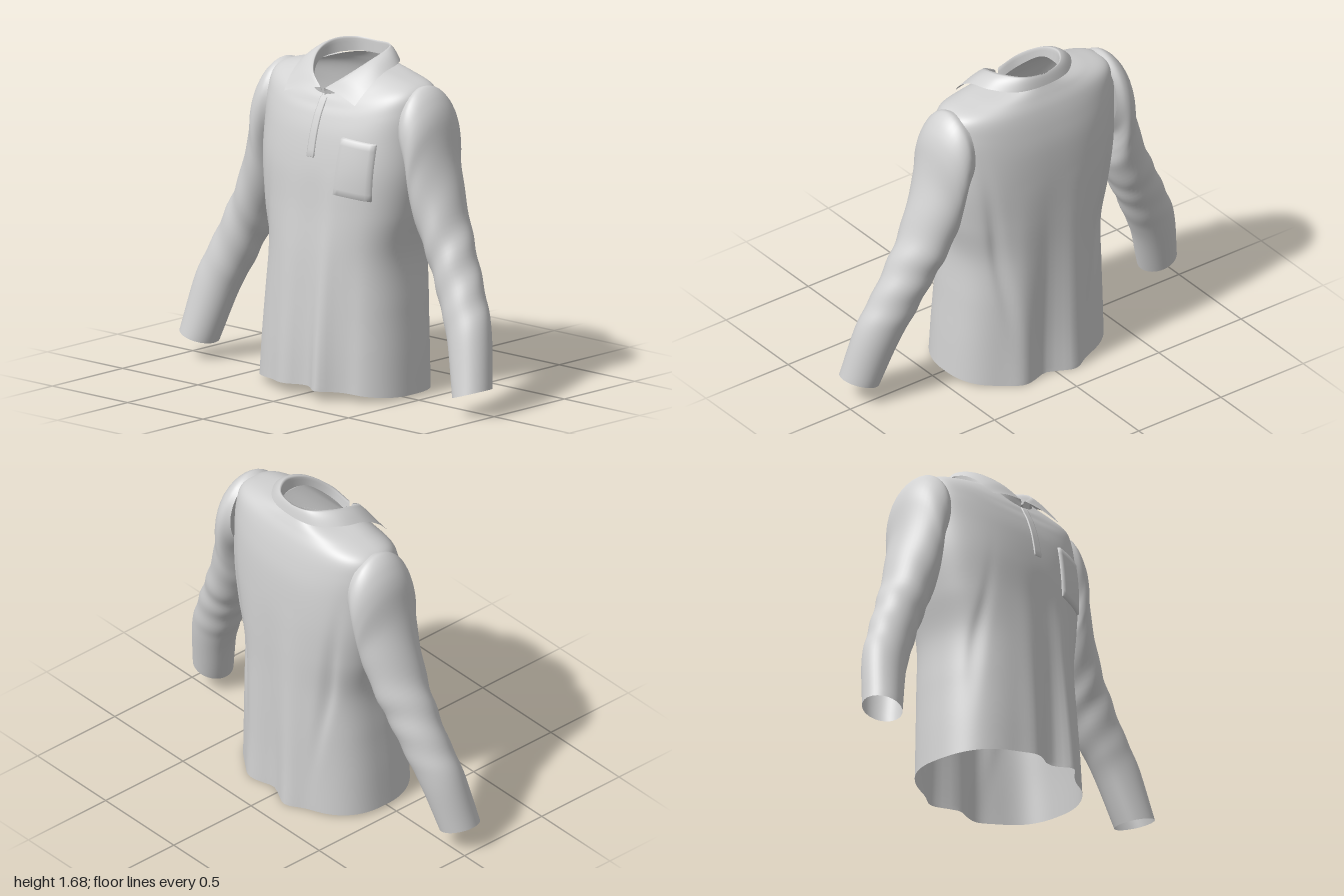
import * as THREE from 'three';

const fabric = new THREE.MeshStandardMaterial({ color: 0xd2d2d2, side: THREE.DoubleSide });
fabric.name = 'light grey fabric';

// Surface through a grid of points: rows by columns, optionally closed around the columns
function gridMesh(name, rows, cols, closed, pointAt) {
  const pos = [], index = [];
  for (let r = 0; r <= rows; r++) {
    for (let c = 0; c < (closed ? cols : cols + 1); c++) pos.push(...pointAt(r / rows, c / cols));
  }
  const stride = closed ? cols : cols + 1;
  for (let r = 0; r < rows; r++) {
    for (let c = 0; c < cols; c++) {
      const a = r * stride + c, b = r * stride + (c + 1) % stride;
      index.push(a, a + stride, b, b, a + stride, b + stride);
    }
  }
  const geo = new THREE.BufferGeometry();
  geo.setAttribute('position', new THREE.Float32BufferAttribute(pos, 3));
  geo.setIndex(index);
  geo.computeVertexNormals();
  const mesh = new THREE.Mesh(geo, fabric);
  mesh.name = name;
  return mesh;
}

// Smooth interpolation through a list of cross-sections
function sections(list) {
  const n = list.length - 1;
  const it = new THREE.CubicInterpolant(list.map((_, i) => i), list.flat(), list[0].length,
    new Float32Array(list[0].length));
  return t => it.evaluate(Math.min(n, t * n));
}

const bump = (x, centre, width) => Math.exp(-(((x - centre) / width) ** 2));
const power = (v, e) => Math.sign(v) * Math.abs(v) ** e;

// Half width, side z, front z, back z, side y, front y, back y
const torsoAt = sections([
  [0.44, -0.02, 0.315, -0.33, 0.02, 0.055, 0.005],
  [0.43, -0.03, 0.31, -0.33, 0.22, 0.24, 0.2],
  [0.415, -0.04, 0.30, -0.335, 0.45, 0.45, 0.45],
  [0.405, -0.05, 0.285, -0.34, 0.7, 0.7, 0.7],
  [0.45, -0.06, 0.265, -0.345, 0.92, 0.92, 0.92],
  [0.48, -0.07, 0.25, -0.345, 1.12, 1.12, 1.12],
  [0.485, -0.08, 0.222, -0.335, 1.3, 1.28, 1.3],
  [0.485, -0.085, 0.19, -0.315, 1.44, 1.38, 1.42],
  [0.455, -0.09, 0.165, -0.29, 1.535, 1.43, 1.51],
  [0.33, -0.09, 0.15, -0.262, 1.575, 1.46, 1.57],
  [0.175, -0.07, 0.135, -0.238, 1.60, 1.48, 1.615],
]);

function torsoPoint(v, u) {
  const [w, zs, zf, zb, ys, yf, yb] = torsoAt(v);
  const a = u * Math.PI * 2, c = Math.cos(a), s = Math.sin(a);
  const x = w * power(c, 0.8), k = power(s, 0.8);
  const y = ys + ((s > 0 ? yf : yb) - ys) * s * s;
  let z = zs + (s > 0 ? zf - zs : zs - zb) * k;
  // Hanging folds, strongest at the hem
  const hang = Math.max(0, 1 - y / 1.15) ** 1.2 * Math.abs(k);
  if (s > 0) {
    z += hang * (0.055 * bump(x, 0.14, 0.05) + 0.028 * bump(x, -0.1, 0.07)
      - 0.02 * bump(x, 0.02, 0.05) - 0.015 * bump(x, 0.27, 0.05));
    z -= 0.016 * bump(x, -0.31 - (0.95 - y) * 0.12, 0.025) * bump(y, 0.65, 0.28);
  } else {
    z -= hang * (0.042 * bump(x, -0.1, 0.07) + 0.03 * bump(x, 0.2, 0.07) - 0.02 * bump(x, 0.05, 0.05));
    z += 0.018 * bump(Math.abs(x), 0.3 + (y - 0.7) * 0.15, 0.03) * bump(y, 0.75, 0.35);
  }
  return [x, y, z];
}

// Outer x, outer y, inner x, inner y, centre z, half depth; cuff to shoulder
const sleeveAt = sections([
  [1.0, 0.145, 0.81, 0.085, 0.053, 0.102],
  [0.945, 0.42, 0.73, 0.33, 0.0, 0.108],
  [0.875, 0.58, 0.665, 0.47, -0.03, 0.112],
  [0.79, 0.76, 0.595, 0.62, -0.055, 0.12],
  [0.70, 0.95, 0.535, 0.75, -0.072, 0.14],
  [0.612, 1.22, 0.475, 0.89, -0.08, 0.165],
  [0.575, 1.405, 0.465, 0.98, -0.085, 0.185],
  [0.53, 1.5, 0.465, 1.05, -0.09, 0.19],
  [0.475, 1.55, 0.46, 1.1, -0.09, 0.185],
  [0.43, 1.545, 0.43, 1.15, -0.09, 0.165],
]);

function sleeve(side) {
  return gridMesh(side > 0 ? 'leftSleeve' : 'rightSleeve', 60, 40, true, (v, u) => {
    const [xo, yo, xi, yi, zc, rz] = sleeveAt(v);
    const a = u * Math.PI * 2 * side, c = Math.cos(a), s = Math.sin(a);
    // Soft wrinkles around the elbow
    const wrinkle = 1 + 0.03 * Math.sin(v * 55 + 2 * a) * bump(v, 0.36, 0.17);
    const k = c * wrinkle;
    return [side * ((xo + xi) / 2 + k * (xo - xi) / 2), (yo + yi) / 2 + k * (yo - yi) / 2, zc + rz * s * wrinkle];
  });
}

// Curve running from the left front, around the back, to the right front
function neckCurve(half) {
  const left = half.map(p => new THREE.Vector3(...p));
  const right = half.slice(0, -1).reverse().map(([x, y, z]) => new THREE.Vector3(-x, y, z));
  return new THREE.CatmullRomCurve3([...left, ...right]);
}

function collar() {
  const base = neckCurve([[0.005, 1.45, 0.135], [0.1, 1.51, 0.1], [0.165, 1.59, 0], [0.165, 1.61, -0.12],
    [0.1, 1.615, -0.215], [0, 1.615, -0.235]]);
  const fold = neckCurve([[0.008, 1.51, 0.148], [0.1, 1.575, 0.105], [0.166, 1.645, 0], [0.17, 1.683, -0.12],
    [0.105, 1.687, -0.212], [0, 1.68, -0.235]]);
  const edge = neckCurve([[0.235, 1.46, 0.172], [0.252, 1.53, 0.105], [0.262, 1.598, 0], [0.248, 1.622, -0.12],
    [0.155, 1.622, -0.225], [0, 1.62, -0.253]]);
  return gridMesh('collar', 12, 80, false, (v, u) => {
    const b = base.getPoint(u), f = fold.getPoint(u), e = edge.getPoint(u);
    const p = v < 0.4 ? b.lerp(f, v / 0.4) : f.clone().lerp(e, (v - 0.4) / 0.6);
    if (v > 0.4) p.y += 0.01 * Math.sin((v - 0.4) / 0.6 * Math.PI);
    return p.toArray();
  });
}

// Raised panel that follows the front of the torso; corners run around from the top left
function frontPanel(name, torso, corners, lift) {
  const ray = new THREE.Raycaster(), dir = new THREE.Vector3(0, 0, -1);
  const n = 16, [tl, tr, br, bl] = corners.map(p => new THREE.Vector2(...p));
  const inset = t => t <= 1 / n ? t * 0.3 : t >= 1 - 1 / n ? 1 - (1 - t) * 0.3 : t;
  return gridMesh(name, n, n, false, (v, u) => {
    const p = bl.clone().lerp(br, inset(1 - u)).lerp(tl.clone().lerp(tr, inset(1 - u)), inset(v));
    ray.set(new THREE.Vector3(p.x, p.y, 1), dir);
    const hit = ray.intersectObject(torso)[0];
    const border = u === 0 || u === 1 || v === 0 || v === 1;
    return [p.x, p.y, (hit ? hit.point.z : 0.15) + (border ? -0.002 : lift)];
  });
}

export function createModel() {
  const shirt = new THREE.Group();
  shirt.name = 'shirt';
  const torso = gridMesh('torso', 80, 128, true, torsoPoint);
  torso.updateMatrixWorld();
  shirt.add(torso, sleeve(1), sleeve(-1), collar());
  // Chest pocket on the wearer's left
  shirt.add(frontPanel('chestPocket', torso, [[0.185, 1.305], [0.365, 1.285], [0.355, 1.0], [0.17, 1.02]], 0.014));
  // Overlapping button placket below the collar
  shirt.add(frontPanel('placket', torso, [[-0.012, 1.47], [0.03, 1.47], [0.03, 1.18], [-0.018, 1.18]], 0.006));
  return shirt;
}
